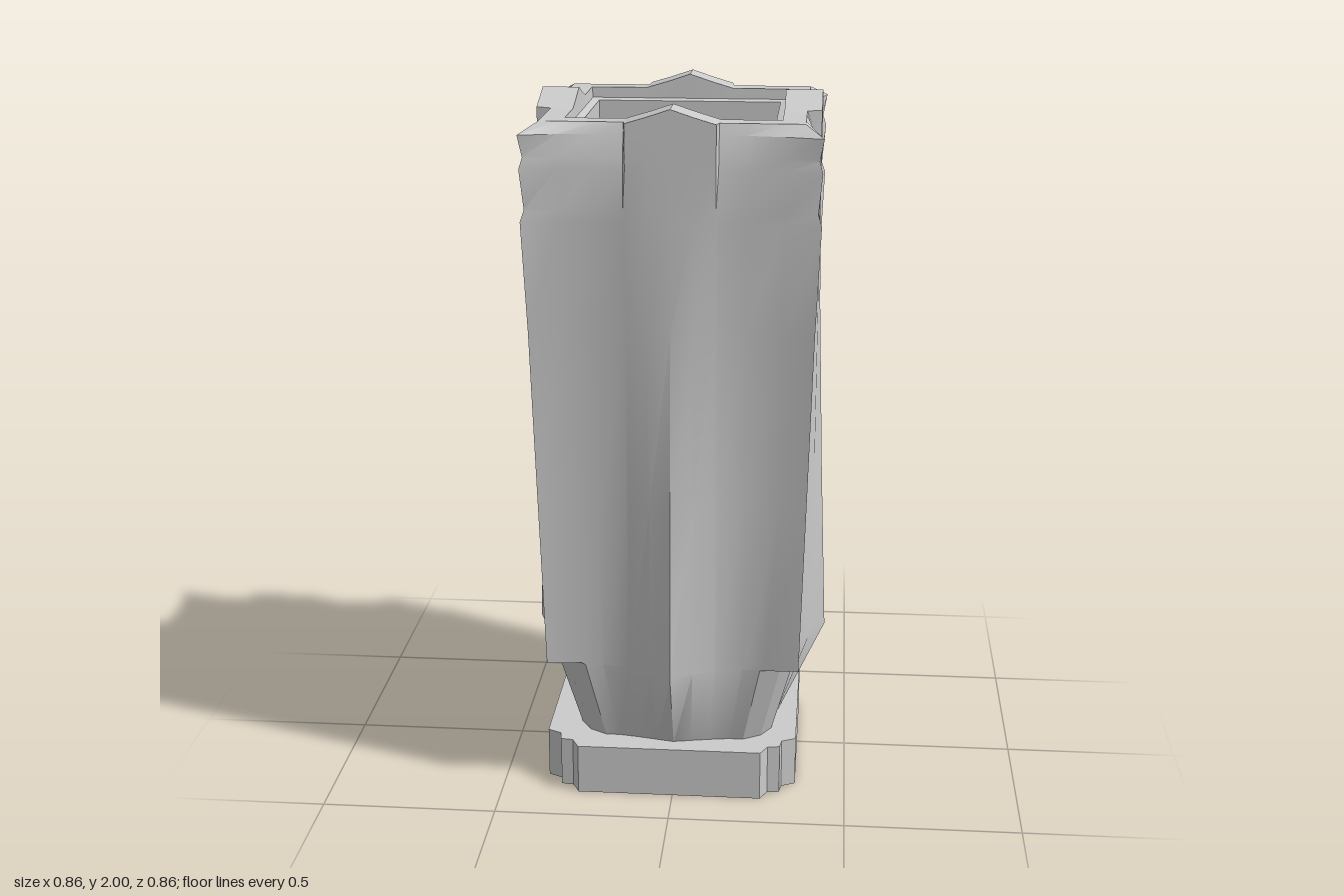
import * as THREE from 'three';
import { toCreasedNormals } from 'three/addons/utils/BufferGeometryUtils.js';

// Sideways positions, from the middle of a face to its corner
const SIDE = [0, 0.06, 0.12, 0.126, 0.2, 0.3];

// One row: seven distances out from the axis; the last is the corner (out = side)
const row = (y, out, side = SIDE) =>
  out.map((o, i) => [o, i < 6 ? side[i] : o, Array.isArray(y) ? y[i] : y]);

// Mirror a row about the face middle and repeat it on four faces
function ring(pts) {
  const face = [
    ...pts.slice().reverse().map(([o, s, y]) => [o, -s, y]),
    ...pts.slice(1, -1),
  ];
  const loop = [];
  for (let k = 0; k < 4; k++) {
    for (const [o, s, y] of face) {
      let x = o, z = s;
      for (let r = 0; r < k; r++) [x, z] = [-z, x];
      loop.push([x, y, z]);
    }
  }
  return loop;
}

function loft(rows) {
  const rings = rows.map(ring);
  const n = rings[0].length;
  const index = [];
  for (let j = 0; j < rings.length - 1; j++) {
    for (let i = 0; i < n; i++) {
      const a = j * n + i, b = j * n + (i + 1) % n, c = a + n, d = b + n;
      index.push(a, c, b, b, c, d);
    }
  }
  const geo = new THREE.BufferGeometry();
  geo.setAttribute('position', new THREE.Float32BufferAttribute(rings.flat(2), 3));
  geo.setIndex(index);
  geo.computeVertexNormals();
  return toCreasedNormals(geo, 0.38);
}

export function createModel() {
  const group = new THREE.Group();
  const material = new THREE.MeshStandardMaterial({ color: 0xcccccc });
  const add = (name, geo) => {
    const mesh = new THREE.Mesh(geo, material);
    mesh.name = name;
    group.add(mesh);
    return mesh;
  };

  // Foot: square slab with stepped corners
  const corner = [[0.365, -0.265], [0.365, 0.265], [0.325, 0.285], [0.32, 0.32], [0.285, 0.325]];
  const outline = [];
  for (let k = 0; k < 4; k++) {
    for (const [px, py] of corner) {
      let x = px, y = py;
      for (let r = 0; r < k; r++) [x, y] = [-y, x];
      outline.push(new THREE.Vector2(x, y));
    }
  }
  const foot = new THREE.ExtrudeGeometry(new THREE.Shape(outline), { depth: 0.147, bevelEnabled: false });
  foot.rotateX(-Math.PI / 2);
  add('foot', foot).position.x = -0.01;

  // Body: outer wall, peaked rim and hollow inside in one continuous skin
  const lowSide = [0, 0.05, 0.1, 0.105, 0.16, 0.2];
  const chamferSide = [0, 0.06, 0.12, 0.126, 0.2, 0.25];
  const tipSide = [0, 0.06, 0.12, 0.126, 0.2, 0.26];
  const innerSide = [0, 0.06, 0.12, 0.126, 0.2, 0.25];
  const floorSide = [0, 0.06, 0.12, 0.126, 0.18, 0.22];
  const peak = [2, 1.98, 1.962, 1.96, 1.96, 1.96, 1.96];
  const inner = (y, r, side) => row(y, Array(7).fill(r), side);
  add('body', loft([
    // tapered neck with chamfered corners
    row(0.14, [0.31, 0.3, 0.29, 0.289, 0.28, 0.28, 0.25], lowSide),
    row(0.4, [0.43, 0.39, 0.36, 0.357, 0.342, 0.348, 0.31], chamferSide),
    // overhanging corner tips
    row(0.407, [0.43, 0.39, 0.36, 0.357, 0.342, 0.35, 0.36], tipSide),
    // fluted wall, face ridges fading as the corners flare out
    row(0.9, [0.411, 0.39, 0.37, 0.368, 0.355, 0.357, 0.373]),
    row(1.4, [0.395, 0.39, 0.379, 0.378, 0.37, 0.372, 0.386]),
    row(1.7, [0.39, 0.389, 0.385, 0.384, 0.381, 0.384, 0.398]),
    // notched corners
    row(1.73, [0.39, 0.389, 0.386, 0.385, 0.382, 0.384, 0.388]),
    row(1.84, [0.39, 0.39, 0.388, 0.38, 0.378, 0.384, 0.398]),
    row(1.87, [0.39, 0.39, 0.389, 0.374, 0.374, 0.382, 0.389]),
    row(1.93, [0.39, 0.39, 0.39, 0.36, 0.362, 0.375, 0.4]),
    // rim with a raised peak on each side
    row(peak, [0.39, 0.39, 0.39, 0.35, 0.35, 0.35, 0.35]),
    inner(peak, 0.288, innerSide),
    // inner ledge and tapering cavity
    inner(1.93, 0.286, innerSide),
    inner(1.925, 0.265, innerSide),
    inner(0.35, 0.247, floorSide),
  ]));

  // Cavity floor
  const floor = new THREE.PlaneGeometry(0.5, 0.5);
  floor.rotateX(-Math.PI / 2);
  add('cavityFloor', floor).position.y = 0.352;

  return group;
}
